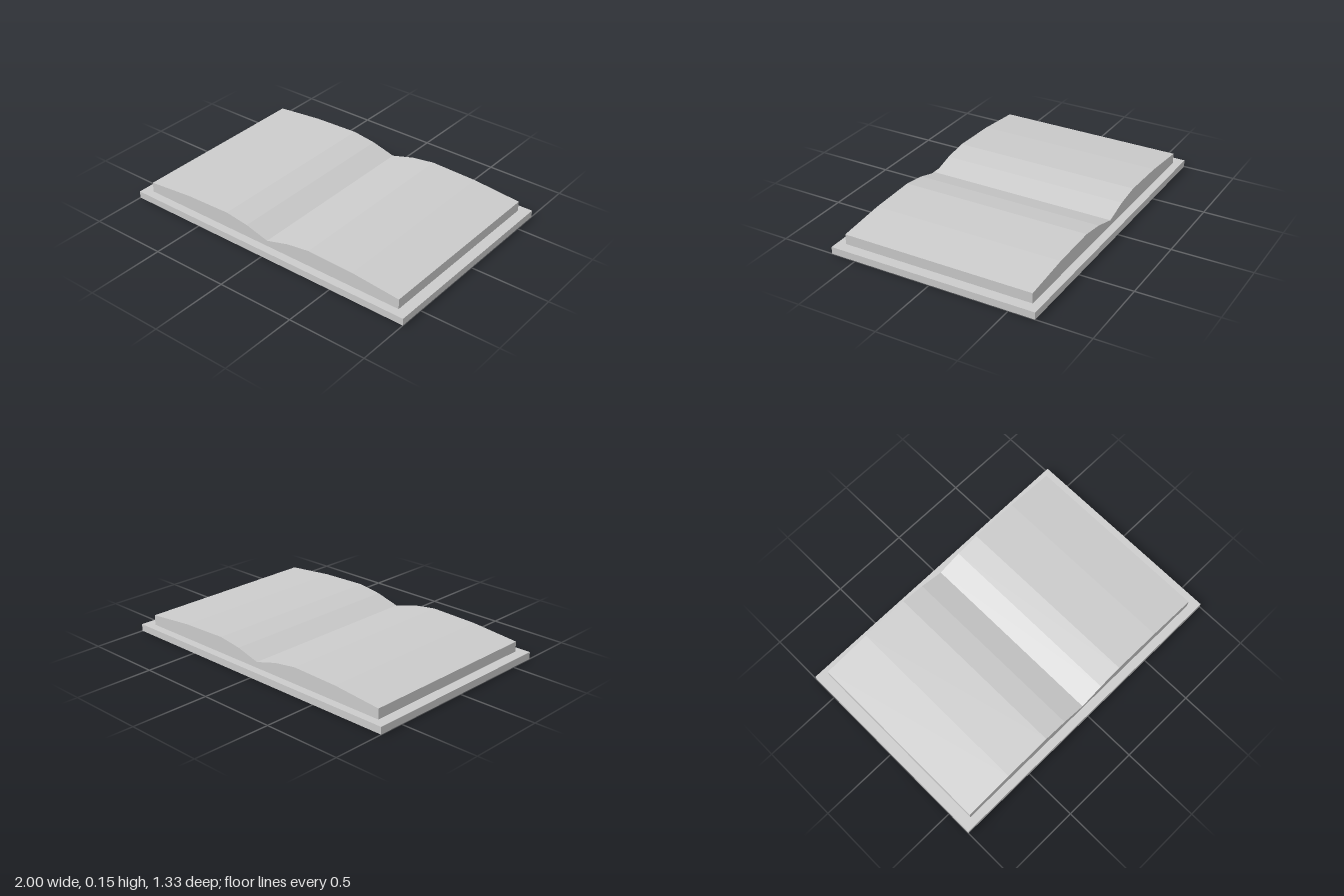
import * as THREE from 'three';

export function createModel() {
  const group = new THREE.Group();
  const material = new THREE.MeshStandardMaterial({ color: 0xcccccc, flatShading: true });

  const coverThickness = 0.045;
  const coverDepth = 1.325;
  const pageDepth = 1.22;

  // Flat cover lying open on the ground
  const cover = new THREE.Mesh(new THREE.BoxGeometry(2, coverThickness, coverDepth), material);
  cover.name = 'cover';
  cover.position.y = coverThickness / 2;
  group.add(cover);

  // Half of the page surface, from the centre fold to the outer edge
  const half = [[0, 0.082], [0.155, 0.125], [0.31, 0.147], [0.62, 0.138], [0.933, 0.109]];
  const mirrored = half.slice(1).map(([x, y]) => [-x, y]).reverse();

  // Page block: mirrored profile extruded along the depth
  const outline = [[-0.933, coverThickness], [0.933, coverThickness], ...[...mirrored, ...half].reverse()];
  const shape = new THREE.Shape(outline.map(([x, y]) => new THREE.Vector2(x, y)));
  const pages = new THREE.Mesh(
    new THREE.ExtrudeGeometry(shape, { depth: pageDepth, bevelEnabled: false }).translate(0, 0, -pageDepth / 2),
    material
  );
  pages.name = 'pages';
  group.add(pages);

  return group;
}
